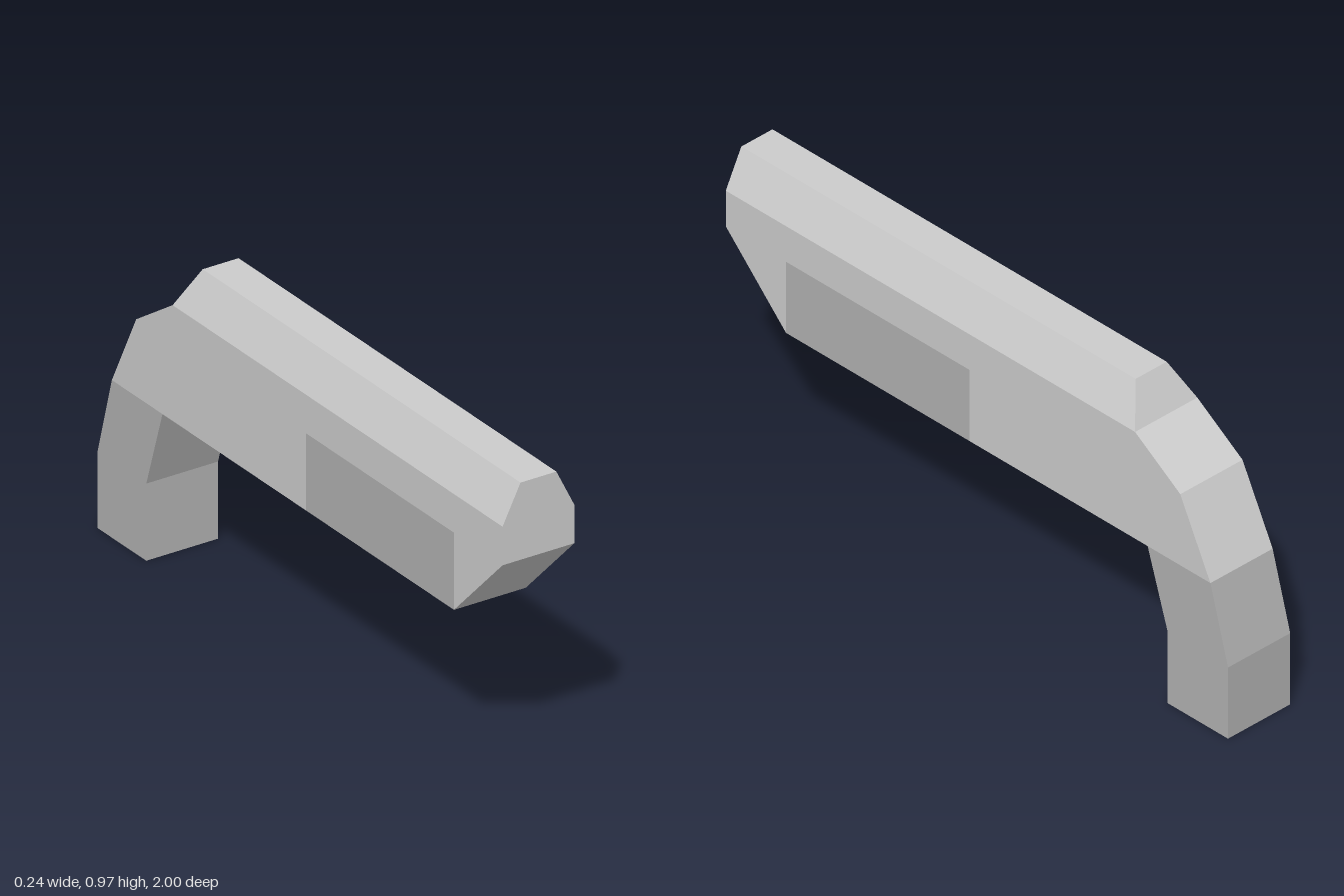
import * as THREE from 'three';

const HALF = 0.12;  // half width of every slab
const RIDGE = 0.06; // half width of the narrow top

const tone = (color) => new THREE.MeshStandardMaterial({ color, flatShading: true });
const light = tone(0xdadada);
const mid = tone(0xcccccc);
const dark = tone(0xb0b0b0);

function addMesh(parent, name, geometry, material) {
  const mesh = new THREE.Mesh(geometry, material);
  mesh.name = name;
  parent.add(mesh);
}

const outline = (points) => new THREE.Shape(points.map(([a, b]) => new THREE.Vector2(a, b)));

// Full-width slab from a side outline of [z, y] points
function slab(points) {
  const geometry = new THREE.ExtrudeGeometry(outline(points), { depth: 2 * HALF, bevelEnabled: false });
  return geometry.translate(0, 0, -HALF).rotateY(-Math.PI / 2);
}

// Chamfered top between two z positions; the rear top edge leans forward by `lean`
function ridge(zBack, zFront, lean) {
  const section = outline([[-HALF, 0.85], [HALF, 0.85], [RIDGE, 0.97], [-RIDGE, 0.97]]);
  const geometry = new THREE.ExtrudeGeometry(section, { depth: zFront - zBack, bevelEnabled: false });
  geometry.translate(0, 0, zBack);
  const p = geometry.attributes.position;
  for (let i = 0; i < p.count; i++) {
    if (p.getY(i) > 0.96 && p.getZ(i) < zBack + 0.001) p.setZ(i, zBack + lean);
  }
  geometry.computeVertexNormals();
  return geometry;
}

export function createModel() {
  const model = new THREE.Group();
  model.name = 'angledBarrelWithGrip';

  // Front section with a sloping underside
  const nose = new THREE.Group();
  nose.name = 'nose';
  addMesh(nose, 'noseSide', slab([[0.52, 0.73], [0.76, 0.73], [0.76, 0.49], [1, 0.73], [1, 0.85], [0.52, 0.85]]), mid);
  addMesh(nose, 'noseRidge', ridge(0.52, 1, 0), mid);
  model.add(nose);

  // Long upper body with its leaning rear end
  const upperBody = new THREE.Group();
  upperBody.name = 'upperBody';
  addMesh(upperBody, 'upperBodySide', slab([[0.52, 0.85], [-0.63, 0.85], [-0.72, 0.79], [-0.42, 0.73], [0.52, 0.73]]), light);
  addMesh(upperBody, 'upperBodyRidge', ridge(-0.63, 0.52, 0.06), light);
  model.add(upperBody);

  // Lower body
  addMesh(model, 'forePanel', slab([[0.03, 0.49], [0.76, 0.49], [0.76, 0.73], [0.03, 0.73]]), dark);
  addMesh(model, 'rearFrame', slab([[0.03, 0.49], [0.03, 0.73], [-0.42, 0.73], [-0.72, 0.79], [-0.68, 0.49]]), mid);

  // Curved grip
  const grip = new THREE.Group();
  grip.name = 'grip';
  addMesh(grip, 'gripShoulder', slab([[-0.68, 0.49], [-0.72, 0.79], [-0.81, 0.73], [-0.93, 0.49]]), light);
  addMesh(grip, 'gripHandle', slab([[-0.68, 0.49], [-0.93, 0.49], [-1, 0.24], [-1, 0], [-0.76, 0], [-0.76, 0.24]]), dark);
  model.add(grip);

  return model;
}
